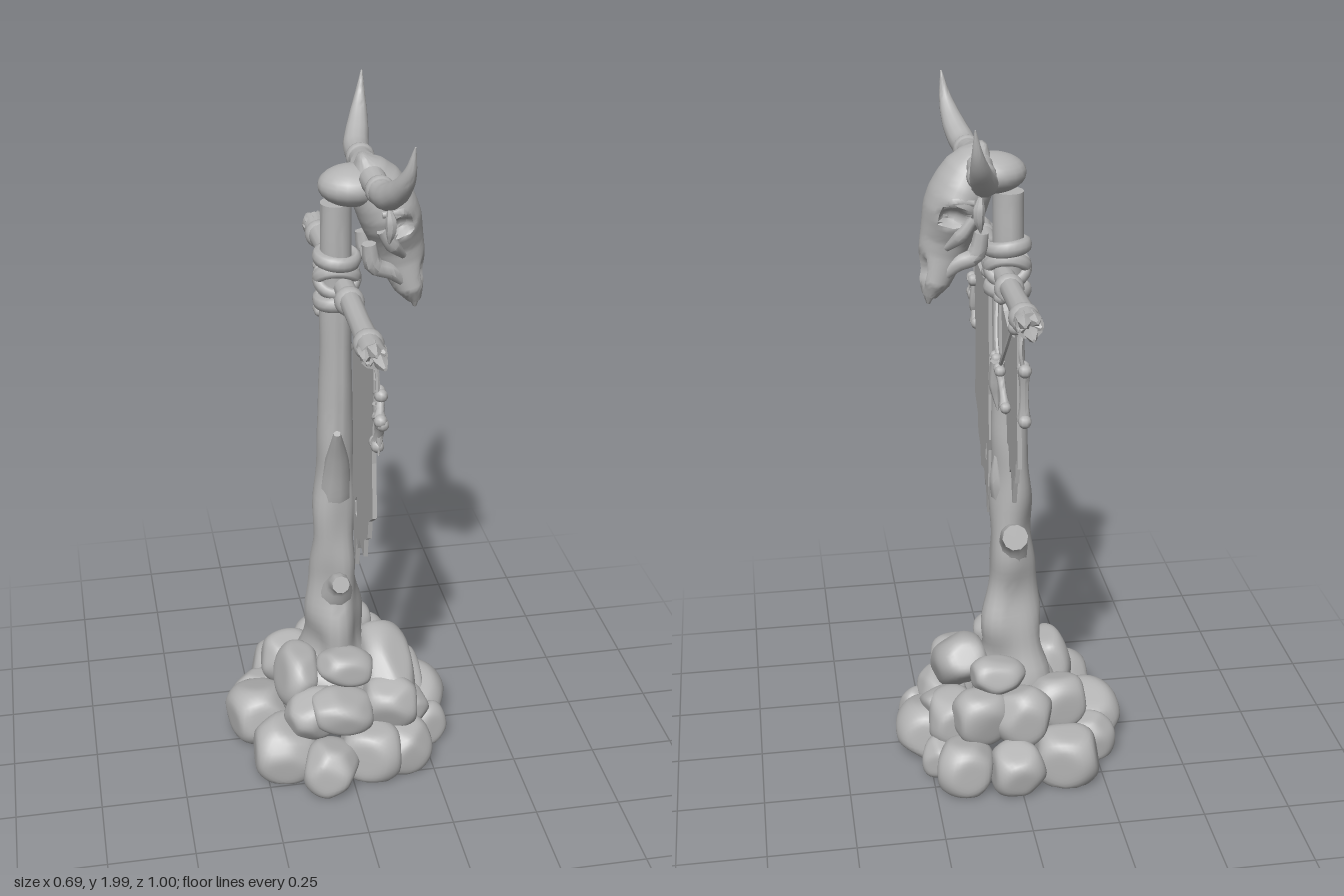
import * as THREE from 'three';
import { mergeVertices, toCreasedNormals } from 'three/addons/utils/BufferGeometryUtils.js';

const grey = new THREE.MeshStandardMaterial({ color: 0xb4b4b4, side: THREE.DoubleSide });
grey.name = 'weathered grey';
const V = (x, y, z) => new THREE.Vector3(x, y, z);

let seed;
const rand = () => (seed = (seed * 16807) % 2147483647) / 2147483647;

export function createModel() {
  seed = 7;
  const root = new THREE.Group();
  root.name = 'skullTotem';

  const add = (name, geo, parent = root) => {
    const m = new THREE.Mesh(geo, grey);
    m.name = name;
    parent.add(m);
    return m;
  };
  const group = (name) => {
    const g = new THREE.Group();
    g.name = name;
    root.add(g);
    return g;
  };

  // Tapered tube with flat caps; each radius is a number or [radius, radius across z]
  const sweep = (pts, radii, sides = 10, segs = 20, rule = null) => {
    const curve = new THREE.CatmullRomCurve3(pts.map((p) => V(...p)));
    const geo = new THREE.TubeGeometry(curve, segs, 1, sides);
    const pos = geo.attributes.position, v = V(0, 0, 0);
    const pair = (r) => (Array.isArray(r) ? r : [r, r]);
    for (let i = 0; i < pos.count; i++) {
      const ring = Math.floor(i / (sides + 1));
      const c = curve.getPointAt(ring / segs);
      v.fromBufferAttribute(pos, i).sub(c);
      const t = THREE.MathUtils.clamp((ring - 1) / (segs - 2), 0, 1);
      const f = t * (radii.length - 1), k = Math.min(Math.floor(f), radii.length - 2);
      const a = pair(radii[k]), b = pair(radii[k + 1]), w = f - k;
      const cap = ring === 0 || ring === segs ? 0 : 1;
      const r = cap * (a[0] + (b[0] - a[0]) * w), rz = cap * (a[1] + (b[1] - a[1]) * w);
      v.set(v.x * r, v.y * r, v.z * rz).add(curve.getPointAt(t));
      if (rule) rule(v);
      pos.setXYZ(i, v.x, v.y, v.z);
    }
    return toCreasedNormals(geo, 0.8);
  };

  // Blocky boulder: a sphere softly cut by six box planes and a few random ones, flat on the ground
  const pile = group('rockPile');
  const rock = (x, y, z, sx, sy, sz, turn) => {
    const ball = new THREE.IcosahedronGeometry(1, 7);
    ball.deleteAttribute('uv');
    ball.deleteAttribute('normal');
    const geo = mergeVertices(ball, 1e-4), pos = geo.attributes.position, v = V(0, 0, 0);
    const planes = [1, -1].flatMap((s) => [V(s, 0, 0), V(0, s, 0), V(0, 0, s)]);
    for (const n of planes) n.add(V(rand() - 0.5, rand() - 0.5, rand() - 0.5).multiplyScalar(0.5)).normalize().divideScalar(0.93);
    for (let i = 0; i < 5; i++) planes.push(V(rand() - 0.5, rand() - 0.5, rand() - 0.5).normalize());
    const e = turn || new THREE.Euler((rand() - 0.5) * 0.5, (rand() - 0.5) * 0.7, (rand() - 0.5) * 0.5);
    for (let i = 0; i < pos.count; i++) {
      v.fromBufferAttribute(pos, i).normalize();
      let s = 0.08;
      for (const n of planes) s += Math.pow(Math.max(0, v.dot(n)), 22);
      v.multiplyScalar(Math.pow(s, -1 / 22));
      v.set(v.x * sx, v.y * sy, v.z * sz).applyEuler(e);
      pos.setXYZ(i, v.x + x, Math.max(0.008, v.y + y), v.z + z);
    }
    geo.computeVertexNormals();
    add('rock', geo, pile);
  };

  // Lower ring of rocks: x, z, half width, half depth
  [
    [-0.14, -0.25, 0.1, 0.085], [0.16, -0.25, 0.085, 0.085], [-0.24, -0.035, 0.1, 0.11], [-0.23, -0.15, 0.075, 0.06],
    [-0.19, 0.16, 0.1, 0.105], [-0.07, 0.265, 0.08, 0.085], [0.06, 0.22, 0.1, 0.075], [0.16, 0.19, 0.085, 0.09],
    [0.24, -0.03, 0.095, 0.115], [0.26, 0.09, 0.06, 0.05], [0.22, -0.17, 0.055, 0.06], [0.01, -0.28, 0.08, 0.08],
  ].forEach(([x, z, w, d]) => rock(x, 0.03 + w * 0.5, z, w, 0.04 + w * 0.55, d));
  // Upper rocks: x, y, z, half sizes
  [
    [0.19, 0.14, 0.08, 0.07, 0.055, 0.09], [0.18, 0.16, -0.11, 0.075, 0.085, 0.085],
    [-0.13, 0.2, -0.14, 0.095, 0.085, 0.07], [-0.13, 0.25, 0.03, 0.065, 0.095, 0.1],
    [-0.1, 0.2, 0.16, 0.09, 0.07, 0.075], [-0.02, 0.22, 0.19, 0.1, 0.06, 0.08],
    [0.005, 0.32, 0.11, 0.085, 0.052, 0.065], [0.13, 0.2, 0.15, 0.09, 0.08, 0.07],
    [0.1, 0.2, -0.18, 0.09, 0.09, 0.075], [-0.02, 0.2, -0.2, 0.085, 0.09, 0.075],
    [0.05, 0.31, -0.145, 0.08, 0.055, 0.06], [-0.03, 0.18, 0, 0.14, 0.13, 0.14],
  ].forEach((r) => rock(...r));
  // Large slanted block leaning on the pole, with a thinner one below
  rock(0.14, 0.26, 0.045, 0.085, 0.075, 0.15, new THREE.Euler(0.55, 0.1, -0.35));
  rock(0.21, 0.16, -0.02, 0.06, 0.04, 0.12, new THREE.Euler(0.6, 0, -0.3));

  // Gnarled pole with lobed, knotty wood
  add('pole', sweep(
    [[-0.01, 0.25, -0.02], [-0.01, 0.5, -0.015], [-0.012, 0.8, -0.015], [-0.005, 1.2, -0.012], [-0.005, 1.74, -0.01]],
    [0.1, 0.082, 0.066, 0.064, 0.056, 0.05, 0.046, 0.045, 0.044, 0.042], 24, 64, (v) => {
      const a = Math.atan2(v.z, v.x), k = Math.max(0.02, (1.3 - v.y) * 0.14);
      const s = 1 + k * (Math.sin(3 * a + v.y * 8) + 0.7 * Math.sin(2 * a - v.y * 21) + 0.5 * Math.sin(v.y * 32));
      v.x *= s; v.z *= s;
    }));
  const stubs = group('branchStubs');
  add('branch', sweep([[-0.01, 0.6, -0.01], [-0.01, 0.7, -0.06], [0, 0.75, -0.11], [0, 0.775, -0.17]],
    [0.05, 0.05, 0.04, 0.034, 0.037], 10, 14), stubs);
  add('branch', sweep([[-0.01, 0.54, 0.03], [-0.01, 0.59, 0.07], [-0.01, 0.605, 0.105]], [0.05, 0.034, 0.026], 9, 10), stubs);
  add('branch', sweep([[-0.01, 0.86, 0.0], [-0.01, 0.98, 0.038], [-0.02, 1.1, 0.098]], [0.05, 0.034, 0.01], 9, 12), stubs);
  add('branch', sweep([[0.01, 0.82, -0.02], [0.03, 0.9, -0.03], [0.035, 0.97, -0.035]], [0.035, 0.025, 0.006], 8, 10), stubs);

  // Crossbar with splintered ends
  const bar = group('crossbar');
  const barY = (z) => 1.507 - z * 0.02;
  add('bar', sweep([[0.01, barY(0.45), 0.45], [0.012, 1.51, 0], [0.01, barY(-0.45), -0.45]],
    [0.036, 0.029, 0.03, 0.029, 0.029, 0.036], 12, 24), bar);
  for (const s of [1, -1]) {
    for (let i = 0; i < 5; i++) {
      const a = i * 1.257 + s * 0.4, cx = Math.cos(a), cy = Math.sin(a), y = barY(s * 0.45);
      const tip = s * (0.46 + 0.037 * ((i * 2) % 3) / 2);
      add('splinter', sweep([[0.01 + 0.014 * cx, y + 0.014 * cy, s * 0.4],
        [0.01 + 0.02 * cx, y + 0.016 * cy, s * 0.435], [0.01 + 0.03 * cx, y + 0.022 * cy, tip]],
      [0.018, 0.022, 0.018, 0.005], 5, 8), bar);
    }
  }

  // Cloth ties on the bar and lashing at the crossing
  const ties = group('ties');
  [0.37, 0.105, -0.13, -0.375].forEach((z, i) => {
    const t = add('tie', new THREE.TorusGeometry(0.027, 0.014, 10, 20), ties);
    t.position.set(0.012, barY(z) - 0.004, z);
    t.rotation.set(0, i % 2 ? 0.15 : -0.15, 0);
    t.scale.z = 1.9;
    add('knot', new THREE.SphereGeometry(0.02, 10, 8), ties).position.set(0.035, barY(z) - 0.028, z);
  });
  for (const [y, tx, tz] of [[1.465, 0, 0.1], [1.585, 0.1, -0.1], [1.525, 0.75, 0.1], [1.525, -0.75, -0.1]]) {
    const t = add('lashing', new THREE.TorusGeometry(0.052, 0.016, 8, 22), ties);
    t.position.set(-0.002, y, -0.008);
    t.rotation.set(Math.PI / 2 + tx, tz, 0);
    t.scale.z = 1.4;
  }

  // Torn banners, drawn as z, y outlines
  const banner = (name, pts, x, hole) => {
    const shape = new THREE.Shape(pts.map((p) => new THREE.Vector2(...p)));
    if (hole) shape.holes.push(new THREE.Path(hole.map((p) => new THREE.Vector2(...p))));
    const geo = new THREE.ExtrudeGeometry(shape, { depth: 0.012, bevelEnabled: false });
    geo.rotateY(-Math.PI / 2);
    add(name, geo).position.x = x;
  };
  banner('longBanner', [[0.385, 1.4], [0.37, 1.46], [0.345, 1.43], [0.2, 1.425], [0.13, 1.45], [0.1, 1.49],
    [0.095, 1.2], [0.11, 1.1], [0.1, 0.96], [0.115, 0.92], [0.12, 0.8], [0.15, 0.7], [0.17, 0.8], [0.185, 0.775],
    [0.205, 0.82], [0.272, 0.8], [0.28, 0.86], [0.325, 0.89], [0.335, 0.95], [0.39, 0.99], [0.375, 1.15]],
  0.035, [[0.17, 0.87], [0.15, 0.87], [0.145, 0.91], [0.165, 0.935]]);
  banner('shortBanner', [[-0.115, 1.48], [-0.15, 1.45], [-0.24, 1.42], [-0.33, 1.44], [-0.375, 1.48], [-0.375, 1.25],
    [-0.385, 1.09], [-0.36, 1.11], [-0.345, 1.03], [-0.33, 1.05], [-0.3, 0.95], [-0.275, 1.04], [-0.25, 1.02],
    [-0.235, 1.09], [-0.205, 1.09], [-0.2, 1.19], [-0.18, 1.16], [-0.115, 1.17]], 0.03);

  // Hanging bones, claws and cords
  const charms = group('charms');
  const bone = (a, b, r = 0.011) => {
    const A = V(...a), B = V(...b), at = (t) => A.clone().lerp(B, t).toArray();
    add('bone', sweep([at(0), at(0.5), at(1)], [r * 1.4, r, r * 0.9, r, r * 1.4], 8, 10), charms);
    for (const e of [A, B]) for (const s of [1, -1]) {
      const m = add('boneEnd', new THREE.SphereGeometry(r * 1.4, 9, 7), charms);
      m.position.copy(e).add(V(0, 0, s * r));
    }
  };
  const cord = (...pts) => add('cord', sweep(pts, [0.006, 0.006], 6, 14), charms);
  cord([0.045, 1.48, -0.13], [0.055, 1.39, -0.18], [0.055, 1.33, -0.235], [0.055, 1.38, -0.3], [0.045, 1.48, -0.375]);
  bone([0.055, 1.25, -0.155], [0.06, 1.34, -0.205]);
  bone([0.055, 1.25, -0.33], [0.06, 1.33, -0.27]);
  add('claw', sweep([[0.06, 1.34, -0.235], [0.065, 1.27, -0.23], [0.06, 1.2, -0.24]], [0.02, 0.018, 0.002], 8, 12), charms);
  cord([0.02, 1.5, -0.41], [0.03, 1.44, -0.425], [0.02, 1.38, -0.425]);
  bone([0.02, 1.39, -0.425], [0.02, 1.25, -0.425], 0.013);
  cord([0.02, 1.48, 0.39], [0.03, 1.42, 0.395], [0.03, 1.34, 0.4]);
  bone([0.04, 1.36, 0.385], [0.03, 1.31, 0.43], 0.013);
  bone([0.035, 1.3, 0.43], [0.03, 1.22, 0.395], 0.013);
  add('claw', sweep([[0.03, 1.34, 0.4], [0.035, 1.28, 0.405], [0.03, 1.2, 0.425]], [0.014, 0.014, 0.002], 8, 12), charms);

  // Horned skull facing +x, with sunken eye sockets and nose
  const skull = group('skull');
  add('skullBone', sweep(
    [[0.06, 1.872, 0], [0.09, 1.81, 0], [0.138, 1.71, 0], [0.168, 1.61, 0], [0.19, 1.53, 0], [0.212, 1.455, 0]],
    [[0.008, 0.02], [0.05, 0.068], [0.072, 0.085], [0.08, 0.1], [0.084, 0.108], [0.083, 0.102], [0.076, 0.076],
      [0.07, 0.056], [0.064, 0.05], [0.056, 0.052], [0.046, 0.054], [0.022, 0.034]],
    32, 56, (v) => {
      for (const s of [1, -1]) {
        const d = Math.hypot(v.x - 0.155, (v.y - 1.695) * 1.2, v.z - s * 0.09);
        v.z -= s * 0.055 * Math.exp(-((d / 0.032) ** 4));
        const n = Math.hypot((v.y - 1.53) / 2.5, v.z - s * 0.02);
        if (v.x > 0.2) v.x -= 0.035 * Math.exp(-((n / 0.014) ** 2));
      }
    }), skull);
  const cranium = add('cranium', new THREE.SphereGeometry(1, 20, 14), skull);
  cranium.scale.set(0.095, 0.055, 0.085);
  cranium.position.set(0.04, 1.79, 0);
  add('noseTip', sweep([[0.195, 1.5, 0], [0.212, 1.46, 0], [0.216, 1.428, 0]], [0.03, 0.022, 0.005], 8, 10), skull);
  for (const s of [1, -1]) {
    add('browRidge', sweep([[0.1, 1.735, s * 0.095], [0.15, 1.738, s * 0.088], [0.19, 1.715, s * 0.062]],
      [0.01, 0.018, 0.008], 8, 12), skull);
    add('cheekBone', sweep([[0.1, 1.69, s * 0.09], [0.13, 1.645, s * 0.08], [0.17, 1.6, s * 0.048]],
      [0.014, 0.02, 0.01], 8, 12), skull);
    add('jawBone', sweep([[0.075, 1.64, s * 0.05], [0.09, 1.575, s * 0.045], [0.14, 1.55, s * 0.038], [0.19, 1.5, s * 0.03]],
      [0.02, 0.026, 0.022, 0.01], 8, 12), skull);

    // Horn, its wrapped base and hanging feathers
    const k = s > 0 ? 0 : 0.025;
    add('horn', sweep([[0.08, 1.825, s * 0.06], [0.085, 1.818, s * 0.13], [0.09, 1.822, s * (0.195 + k)],
      [0.108, 1.862, s * (0.266 + k)], [0.123, 1.92, s * (0.314 + k)], [0.132, 1.995, s * (0.333 + k)]],
    [0.036, 0.034, 0.035, 0.036, 0.032, 0.024, 0.013, 0.002], 14, 30), skull);
    const wrap = add('hornWrap', new THREE.TorusGeometry(0.031, 0.009, 8, 18), skull);
    wrap.position.set(0.086, 1.819, s * 0.135);
    wrap.scale.z = 2;
    const fz = s * (0.19 + k);
    cord([0.1, 1.8, fz], [0.1, 1.78, fz], [0.1, 1.755, fz]);
    add('feather', sweep([[0.1, 1.785, fz], [0.105, 1.74, fz + s * 0.004], [0.1, 1.69, fz]],
      [0.006, 0.016, 0.014, 0.002], 7, 12), skull);
  }
  return root;
}
